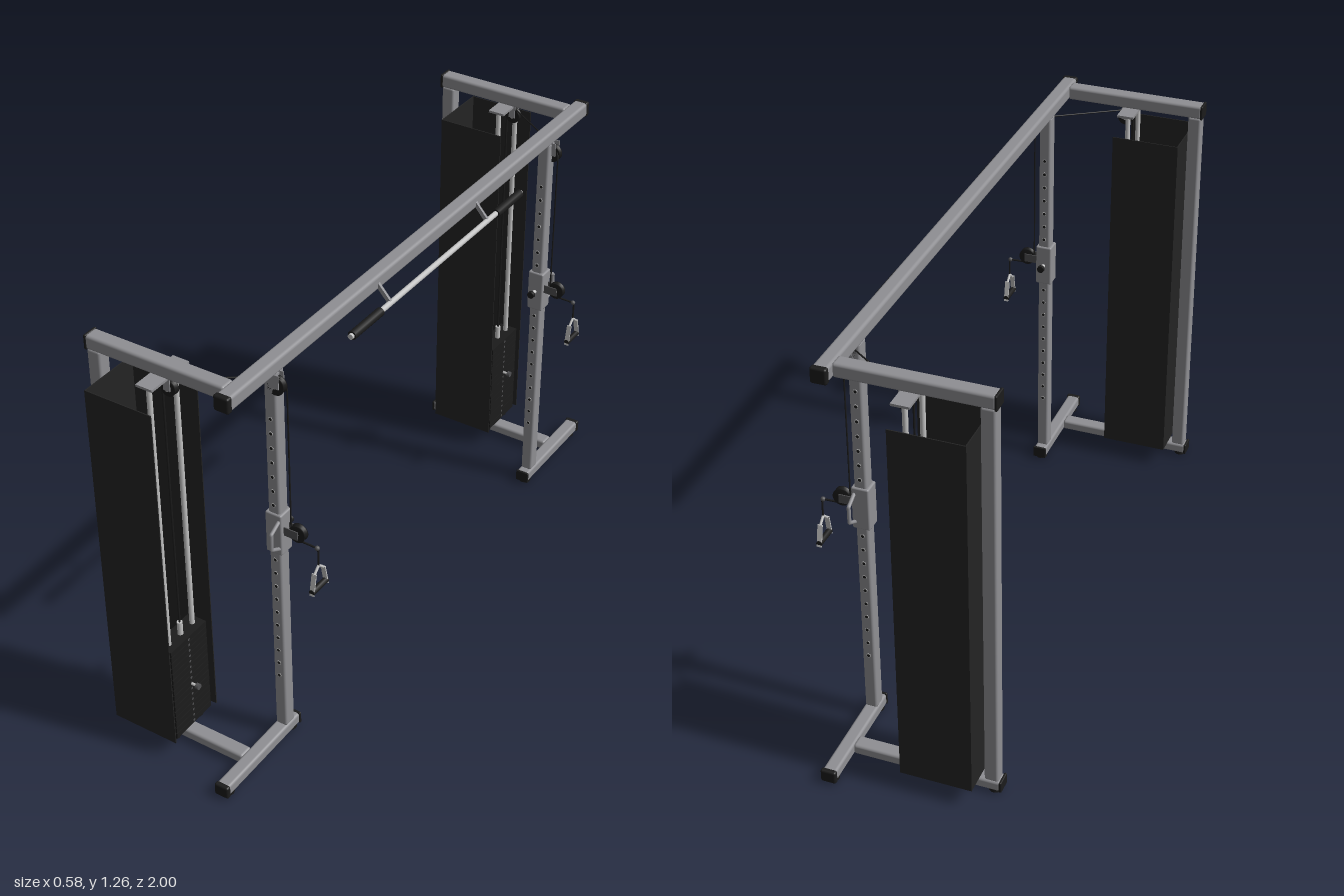
import * as THREE from 'three';
import { RoundedBoxGeometry } from 'three/addons/geometries/RoundedBoxGeometry.js';

const mat = (name, color, side = THREE.FrontSide) => {
  const m = new THREE.MeshStandardMaterial({ color, side });
  m.name = name;
  return m;
};

export function createModel() {
  const frame = mat('frameGrey', 0x8f8f93);
  const black = mat('rubberBlack', 0x1b1b1b);
  const shroud = mat('shroudBlack', 0x242424);
  const chrome = mat('chrome', 0xc4c4c4);
  const steel = mat('darkSteel', 0x505052);
  const model = new THREE.Group();
  model.name = 'cableCrossover';

  const add = (parent, name, geo, m, x = 0, y = 0, z = 0) => {
    const mesh = new THREE.Mesh(geo, m);
    mesh.name = name;
    mesh.position.set(x, y, z);
    parent.add(mesh);
    return mesh;
  };
  // box given by its limits
  const box = (p, name, m, x0, x1, y0, y1, z0, z1, r = 0) => {
    const w = x1 - x0, h = y1 - y0, d = Math.abs(z1 - z0);
    const g = r ? new RoundedBoxGeometry(w, h, d, 3, r) : new THREE.BoxGeometry(w, h, d);
    return add(p, name, g, m, (x0 + x1) / 2, (y0 + y1) / 2, (z0 + z1) / 2);
  };
  // round bar between two points
  const rod = (p, name, m, a, b, r, sides = 12) => {
    const A = new THREE.Vector3(...a), B = new THREE.Vector3(...b);
    const d = B.clone().sub(A);
    const mesh = add(p, name, new THREE.CylinderGeometry(r, r, d.length(), sides), m);
    mesh.position.copy(A).add(B).multiplyScalar(0.5);
    mesh.quaternion.setFromUnitVectors(new THREE.Vector3(0, 1, 0), d.normalize());
    return mesh;
  };
  const bent = (p, name, m, pts, r) => {
    const path = new THREE.CurvePath();
    const v = pts.map(q => new THREE.Vector3(...q));
    for (let i = 1; i < v.length; i++) path.add(new THREE.LineCurve3(v[i - 1], v[i]));
    return add(p, name, new THREE.TubeGeometry(path, 40, r, 8), m);
  };
  // grooved wheel with its axis along z
  const wheelProfile = [[0.003, -0.009], [1, -0.009], [1, -0.006], [0.8, 0], [1, 0.006], [1, 0.009], [0.003, 0.009]];
  const pulley = (p, name, x, y, z, r) => {
    const g = new THREE.LatheGeometry(wheelProfile.map(([a, b]) => new THREE.Vector2(a * r, b)), 24);
    g.rotateX(Math.PI / 2);
    add(p, name, g, black, x, y, z);
    rod(p, name + 'Axle', chrome, [x, y, z - 0.013], [x, y, z + 0.013], 0.006);
  };

  // top crossbeam
  box(model, 'crossbeam', frame, 0.137, 0.18, 1.219, 1.262, -0.908, 0.908, 0.009);

  // pull-up bar with grips
  const bar = new THREE.Group();
  bar.name = 'pullUpBar';
  model.add(bar);
  rod(bar, 'bar', chrome, [0.215, 1.19, -0.44], [0.215, 1.19, 0.44], 0.008);

  for (const s of [1, -1]) {
    rod(bar, 'barGrip', black, [0.215, 1.19, s * 0.298], [0.215, 1.19, s * 0.432], 0.0125, 16);
    const arm = box(bar, 'barArm', frame, 0.16, 0.222, 1.209, 1.221, s * 0.25 - 0.004, s * 0.25 + 0.004);
    arm.position.set(0.193, 1.216, s * 0.25);
    arm.rotation.z = -0.85;

    const unit = new THREE.Group();
    unit.name = s > 0 ? 'leftTower' : 'rightTower';
    model.add(unit);
    const zb = s * 0.854, zp = s * 0.695;

    // frame tubes
    box(unit, 'baseFoot', frame, 0.138, 0.178, 0.008, 0.043, s * 0.652, s * 0.996, 0.008);
    box(unit, 'baseRail', frame, -0.288, 0.14, 0.01, 0.042, zb - 0.022, zb + 0.022, 0.008);
    box(unit, 'topRail', frame, -0.283, 0.14, 1.22, 1.261, zb - 0.022, zb + 0.022, 0.008);
    box(unit, 'rearPost', frame, -0.281, -0.241, 0.04, 1.222, zb - 0.02, zb + 0.02, 0.007);
    box(unit, 'frontPost', frame, 0.14, 0.176, 0.04, 1.222, zp - 0.02, zp + 0.02, 0.007);
    for (let i = 0; i < 20; i++) {
      const y = 0.225 + i * 0.045;
      rod(unit, 'holeRim', chrome, [0.158, y, zp - 0.0208], [0.158, y, zp + 0.0208], 0.0065);
      rod(unit, 'hole', black, [0.158, y, zp - 0.0213], [0.158, y, zp + 0.0213], 0.0045);
    }

    // end caps and floor pads
    box(unit, 'topCap', black, 0.136, 0.181, 1.218, 1.263, s * 0.895, s * 0.914, 0.006);
    box(unit, 'footCap', black, 0.136, 0.181, 0.006, 0.045, s * 0.984, s * 1.0, 0.006);
    box(unit, 'footInnerCap', black, 0.137, 0.18, 0.007, 0.044, s * 0.648, s * 0.656, 0.003);
    box(unit, 'baseRearCap', black, -0.291, -0.283, 0.009, 0.043, zb - 0.023, zb + 0.023, 0.003);
    box(unit, 'topRearCap', black, -0.286, -0.278, 1.219, 1.262, zb - 0.023, zb + 0.023, 0.003);
    for (const [x, z] of [[-0.266, 0.854], [0.158, 0.672], [0.158, 0.968]])
      rod(unit, 'floorPad', black, [x, 0, s * z], [x, 0.012, s * z], 0.018, 16);

    // three-sided shroud, open to the front
    box(unit, 'shroudBack', shroud, -0.235, -0.232, 0.06, 1.155, s * 0.758, s * 0.947);
    box(unit, 'shroudInner', shroud, -0.235, -0.03, 0.06, 1.155, s * 0.758, s * 0.761);
    box(unit, 'shroudOuter', shroud, -0.235, -0.03, 0.06, 1.155, s * 0.944, s * 0.947);

    // weight stack
    for (let i = 0; i < 16; i++) {
      const y = 0.062 + i * 0.0196;
      box(unit, 'weightPlate', black, -0.094, -0.036, y, y + 0.0172, zb - 0.077, zb + 0.077);
      rod(unit, 'plateHole', steel, [-0.05, y + 0.0086, zb], [-0.0355, y + 0.0086, zb], 0.004, 10);
    }
    box(unit, 'stackCore', black, -0.09, -0.04, 0.062, 0.37, zb - 0.073, zb + 0.073);
    for (const dz of [-0.052, 0.052]) {
      rod(unit, 'guideRod', chrome, [-0.063, 0.37, zb + dz], [-0.063, 1.215, zb + dz], 0.0075);
      rod(unit, 'stackBumper', black, [-0.063, 0.038, zb + dz], [-0.063, 0.064, zb + dz], 0.014);
    }
    box(unit, 'rodPlate', frame, -0.085, -0.035, 1.212, 1.219, zb - 0.075, zb + 0.075);
    rod(unit, 'selectorStem', chrome, [-0.063, 0.37, zb], [-0.063, 0.415, zb], 0.008);
    rod(unit, 'stackCable', black, [-0.063, 0.41, zb], [-0.063, 1.185, zb], 0.003, 8);
    const py = s > 0 ? 0.205 : 0.245;
    rod(unit, 'selectorPin', chrome, [-0.05, py, zb], [-0.016, py, zb], 0.004);
    rod(unit, 'selectorKnob', steel, [-0.02, py, zb], [-0.01, py, zb], 0.009);

    // upper pulleys and cable run
    pulley(unit, 'stackPulley', -0.04, 1.183, zb, 0.022);
    pulley(unit, 'postPulley', 0.174, 1.184, s * 0.706, 0.026);
    for (const d of [-0.012, 0.012]) {
      box(unit, 'stackPulleyBracket', frame, -0.05, -0.03, 1.18, 1.22, zb + d - 0.0015, zb + d + 0.0015);
      box(unit, 'postPulleyBracket', frame, 0.16, 0.188, 1.18, 1.221, s * 0.706 + d - 0.0015, s * 0.706 + d + 0.0015);
    }
    bent(unit, 'cable', black, [[-0.04, 1.206, zb], [0.174, 1.21, s * 0.706],
      [0.19, 1.2, s * 0.7], [0.197, 1.18, zp], [0.197, 0.74, zp]], 0.0022);

    // sliding carriage with grab handle and locking pin
    box(unit, 'carriage', frame, 0.133, 0.183, 0.655, 0.785, zp - 0.025, zp + 0.025, 0.005);
    bent(unit, 'carriageHandle', frame, [[0.175, 0.765, s * 0.717], [0.175, 0.745, s * 0.753],
      [0.175, 0.695, s * 0.753], [0.175, 0.675, s * 0.717]], 0.0055);
    rod(unit, 'lockPin', chrome, [0.158, 0.72, s * 0.672], [0.158, 0.72, s * 0.65], 0.006);
    rod(unit, 'lockKnob', black, [0.158, 0.72, s * 0.653], [0.158, 0.72, s * 0.642], 0.011, 16);
    box(unit, 'carriageArm', steel, 0.18, 0.225, 0.718, 0.744, zp - 0.014, zp - 0.011);
    box(unit, 'carriageArm', steel, 0.18, 0.225, 0.718, 0.744, zp + 0.011, zp + 0.014);
    pulley(unit, 'carriagePulley', 0.219, 0.732, zp, 0.025);

    // hand grip hanging from the cable end
    bent(unit, 'cableEnd', black, [[0.215, 0.709, zp], [0.28, 0.707, zp], [0.28, 0.65, zp]], 0.0028);
    add(unit, 'cableStop', new THREE.SphereGeometry(0.007, 12, 8), steel, 0.277, 0.707, zp);
    for (const d of [-1, 1]) {
      rod(unit, 'gripStrapTop', chrome, [0.28, 0.652, zp], [0.28, 0.632, zp + d * 0.021], 0.004, 8);
      const strap = box(unit, 'gripStrap', chrome, 0.273, 0.287, 0.572, 0.637, zp - 0.0018, zp + 0.0018);
      strap.position.z = zp + d * 0.027;
      strap.rotation.x = -d * 0.2;
    }
    rod(unit, 'handGrip', black, [0.28, 0.582, zp - 0.034], [0.28, 0.582, zp + 0.034], 0.0085);
  }
  return model;
}
